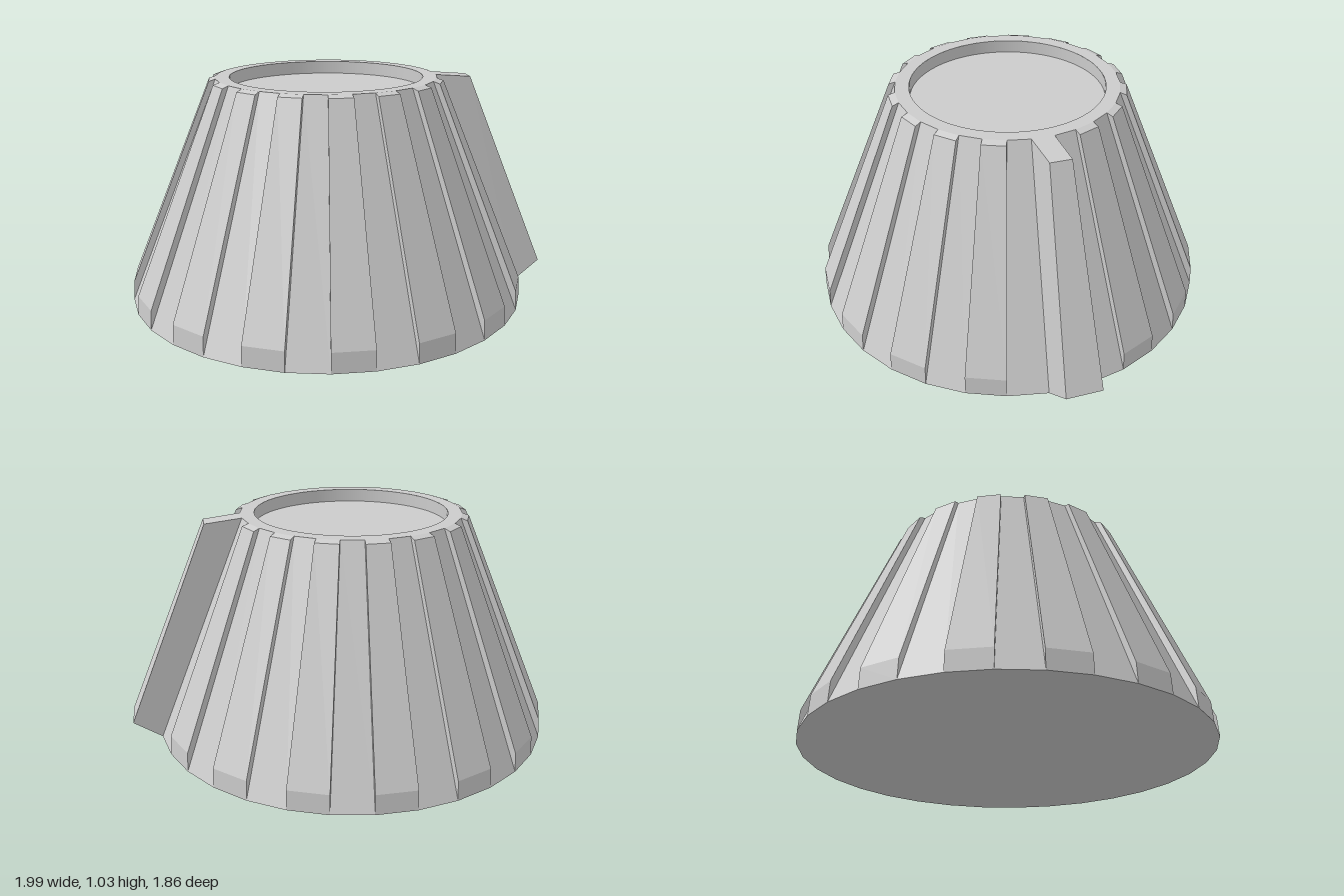
import * as THREE from 'three';

const SIDES = 32, STEP = (Math.PI * 2) / SIDES;
const BASE_R = 0.93, TOP_R = 0.51, TOP_Y = 1.03, DISH_R = 0.445, DISH_DEPTH = 0.06;

// Profiles from bottom to top: [radius, height, radius that sets the width]
const GROOVE = [[BASE_R, 0], [TOP_R, TOP_Y]];
const RIDGE = [[BASE_R, 0], [0.925, 0.09], [0.54, 1.02], [TOP_R, TOP_Y]];
const POINTER = [[BASE_R, 0], [1.06, 0.09, 0.85], [0.68, 1.015, 0.49], [TOP_R, TOP_Y]];

// Point on a profile at angle a (from +x towards +z); any excess radius runs straight along +x
function point([r, y, w = r], a) {
  return [w * Math.cos(a) + (r - w), y, w * Math.sin(a)];
}

// One wedge of the skirt: outer faces, plus side walls if it stands proud
function addWedge(out, profile, index, walls) {
  const a = index * STEP, b = a + STEP;
  const lo = profile.map((p) => point(p, a)), hi = profile.map((p) => point(p, b));
  for (let i = 0; i < profile.length - 1; i++) {
    out.push(lo[i], lo[i + 1], hi[i + 1], lo[i], hi[i + 1], hi[i]);
  }
  if (!walls) return;
  for (let i = 1; i < profile.length - 1; i++) {
    out.push(lo[0], lo[i + 1], lo[i], hi[0], hi[i], hi[i + 1]);
  }
}

function toGeometry(points) {
  const g = new THREE.BufferGeometry();
  g.setAttribute('position', new THREE.Float32BufferAttribute(points.flat(), 3));
  g.computeVertexNormals();
  return g;
}

export function createModel() {
  const group = new THREE.Group();
  const flat = new THREE.MeshStandardMaterial({ color: 0xcccccc, flatShading: true });
  const smooth = new THREE.MeshStandardMaterial({ color: 0xcccccc });
  const inside = new THREE.MeshStandardMaterial({ color: 0xcccccc, side: THREE.BackSide });
  const add = (name, geometry, material) => {
    const mesh = new THREE.Mesh(geometry, material);
    mesh.name = name;
    mesh.position.x = -0.07;
    group.add(mesh);
  };

  // Fluted skirt: ridges alternate with grooves, the pointer takes the first ridge's place
  const grooves = [], ridges = [], pointer = [];
  for (let i = 0; i < SIDES; i++) {
    if (i === 0) addWedge(pointer, POINTER, i, true);
    else if (i % 2 === 0) addWedge(ridges, RIDGE, i, true);
    else addWedge(grooves, GROOVE, i, false);
  }
  add('skirtGrooves', toGeometry(grooves), flat);
  add('gripRidges', toGeometry(ridges), flat);
  add('pointer', toGeometry(pointer), flat);

  // Flat top rim around the dished centre
  const rimShape = new THREE.Shape();
  for (let i = 0; i < SIDES; i++) {
    const x = TOP_R * Math.cos(i * STEP), y = TOP_R * Math.sin(i * STEP);
    if (i === 0) rimShape.moveTo(x, y);
    else rimShape.lineTo(x, y);
  }
  rimShape.closePath();
  rimShape.holes.push(new THREE.Path().absarc(0, 0, DISH_R, 0, Math.PI * 2, true));
  add('topRim', new THREE.ShapeGeometry(rimShape, 64).rotateX(-Math.PI / 2).translate(0, TOP_Y, 0), smooth);

  // Shallow recess in the top
  add('recessWall', new THREE.CylinderGeometry(DISH_R, DISH_R, DISH_DEPTH, 64, 1, true)
    .translate(0, TOP_Y - DISH_DEPTH / 2, 0), inside);
  add('recessFloor', new THREE.CircleGeometry(DISH_R, 64).rotateX(-Math.PI / 2)
    .translate(0, TOP_Y - DISH_DEPTH, 0), smooth);

  // Closed underside
  add('underside', new THREE.CircleGeometry(BASE_R, SIDES).rotateX(Math.PI / 2), smooth);
  return group;
}
